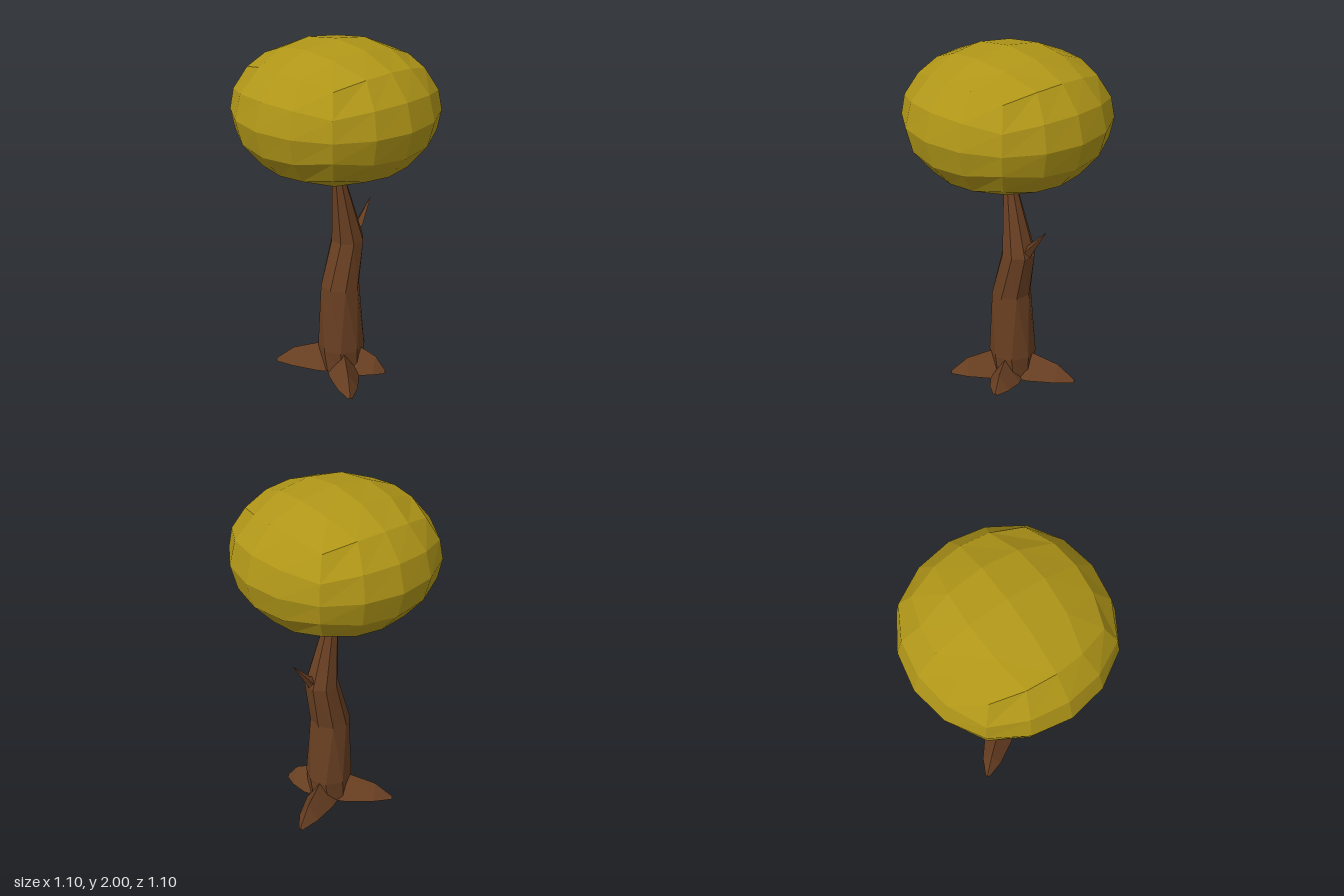
import * as THREE from 'three';

const bark = new THREE.MeshStandardMaterial({ color: 0x693f22, flatShading: true });
const foliage = new THREE.MeshStandardMaterial({ color: 0xb09618, flatShading: true });

// Faceted skin through rings of equal point count, closed at both ends
function loft(name, rings) {
  const out = [];
  const tri = (...pts) => pts.forEach((p) => out.push(p.x, p.y, p.z));
  const n = rings[0].length;
  const last = rings[rings.length - 1];
  for (let i = 0; i < rings.length - 1; i++) {
    for (let j = 0; j < n; j++) {
      const k = (j + 1) % n;
      const [a, b] = [rings[i], rings[i + 1]];
      tri(a[j], b[j], b[k]);
      tri(a[j], b[k], a[k]);
    }
  }
  for (let j = 1; j < n - 1; j++) {
    tri(rings[0][0], rings[0][j], rings[0][j + 1]);
    tri(last[0], last[j + 1], last[j]);
  }
  const geo = new THREE.BufferGeometry();
  geo.setAttribute('position', new THREE.Float32BufferAttribute(out, 3));
  geo.computeVertexNormals();
  const mesh = new THREE.Mesh(geo, bark);
  mesh.name = name;
  return mesh;
}

// Bent, slightly twisted eight-sided trunk: [y, centre x, radius, twist]
function makeTrunk() {
  const levels = [
    [0.01, 0.045, 0.125, -0.1],
    [0.15, 0.045, 0.137, 0],
    [0.555, 0.035, 0.115, -0.3],
    [0.83, 0.093, 0.097, -0.4],
    [1.24, 0.018, 0.035, -0.4],
    [1.32, 0.005, 0.025, -0.4],
  ];
  return loft('trunk', levels.map(([y, cx, r, twist]) =>
    Array.from({ length: 8 }, (_, j) => {
      const a = (j / 8) * Math.PI * 2 + twist;
      return new THREE.Vector3(cx + r * Math.cos(a), y, r * Math.sin(a));
    })));
}

// Ridged root running from the trunk to a tip on the ground
function makeRoot(name, tipX, tipZ) {
  const start = new THREE.Vector3(0.045, 0, 0);
  const dir = new THREE.Vector3(tipX, 0, tipZ).sub(start);
  const len = dir.length();
  dir.normalize();
  const side = new THREE.Vector3(-dir.z, 0, dir.x);
  // [distance along, half width, ridge height]
  const sections = [
    [0.04, 0.09, 0.15],
    [0.125, 0.09, 0.145],
    [0.125 + (len - 0.125) * 0.6, 0.06, 0.1],
    [len, 0.012, 0.015],
  ];
  return loft(name, sections.map(([d, w, h], i) => {
    const p = start.clone().addScaledVector(dir, d);
    const floor = i === 2 ? 0.005 : 0;
    return [
      p.clone().addScaledVector(side, w).setY(floor),
      p.clone().setY(h),
      p.clone().addScaledVector(side, -w).setY(floor),
    ];
  }));
}

// Short pointed twig on the upper trunk: [x, y, z, in-plane radius, z radius]
function makeBranch() {
  const sections = [
    [0.14, 0.83, 0, 0.04, 0.035],
    [0.195, 0.895, -0.005, 0.022, 0.027],
    [0.29, 1.02, -0.015, 0.002, 0.002],
  ];
  return loft('branch', sections.map(([x, y, z, r, rz]) =>
    Array.from({ length: 4 }, (_, j) => {
      const a = (j / 4) * Math.PI * 2;
      const c = r * Math.cos(a);
      return new THREE.Vector3(x + 0.78 * c, y - 0.63 * c, z + rz * Math.sin(a));
    })));
}

// Crown: a box grid rounded to a ball and flattened
function makeCrown() {
  const geo = new THREE.BoxGeometry(2, 2, 2, 4, 4, 4);
  const pos = geo.attributes.position;
  const v = new THREE.Vector3();
  const even = (t) => Math.tan((t * Math.PI) / 4);
  for (let i = 0; i < pos.count; i++) {
    v.fromBufferAttribute(pos, i);
    v.set(even(v.x), even(v.y), even(v.z)).normalize();
    const m = Math.max(Math.abs(v.x), Math.abs(v.y), Math.abs(v.z));
    v.multiplyScalar(0.55 + 0.047 * (1 - m));
    pos.setXYZ(i, v.x, v.y * 0.692, v.z);
  }
  geo.computeVertexNormals();
  const mesh = new THREE.Mesh(geo, foliage);
  mesh.name = 'crown';
  mesh.position.y = 1.62;
  return mesh;
}

export function createModel() {
  const model = new THREE.Group();
  model.name = 'tree';
  model.add(
    makeTrunk(),
    makeRoot('leftRoot', 0.39, -0.18),
    makeRoot('frontRoot', 0.17, 0.25),
    makeRoot('rightRoot', -0.17, 0.3),
    makeRoot('backRoot', -0.21, -0.3),
    makeBranch(),
    makeCrown(),
  );
  return model;
}
